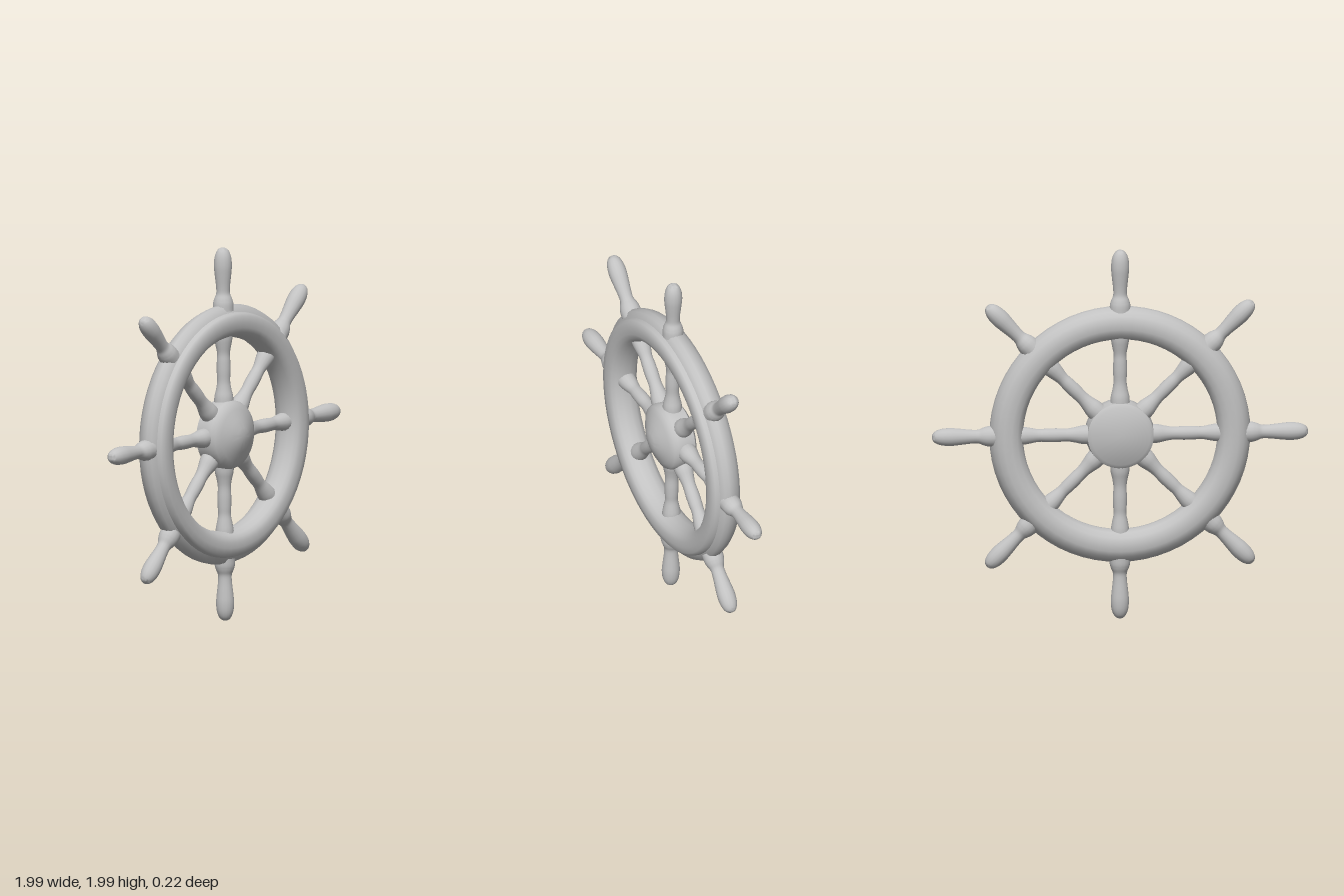
import * as THREE from 'three';
import { toCreasedNormals } from 'three/addons/utils/BufferGeometryUtils.js';

const paint = new THREE.MeshStandardMaterial({ color: 0xc2c2c2 });
paint.name = 'light grey';

// Turned part: points are [radius, height], revolved about the y axis
function turned(name, points, segments, crease) {
  const pts = points.map(([r, h]) => new THREE.Vector2(r, h));
  const geo = toCreasedNormals(new THREE.LatheGeometry(pts, segments), crease);
  const mesh = new THREE.Mesh(geo, paint);
  mesh.name = name;
  return mesh;
}

// Smooths a handful of points into a rounder profile
function smoothProfile(points, count) {
  const curve = new THREE.CatmullRomCurve3(points.map(([r, h]) => new THREE.Vector3(r, h, 0)), false, 'centripetal');
  return curve.getPoints(count).map(p => [Math.max(p.x, 0), p.y]);
}

export function createModel() {
  const model = new THREE.Group();
  model.name = 'shipWheel';
  const wheel = new THREE.Group();
  wheel.name = 'wheel';
  wheel.position.y = 1.004;
  wheel.rotation.set(-0.008, -0.008, 0); // slight lean of the whole wheel
  model.add(wheel);

  // Rim: a raised front ring on a broader band with a rounded back
  const rim = turned('rim', [
    [0.532, 0.04], [0.518, 0.01], [0.514, -0.03], [0.525, -0.065], [0.548, -0.092], [0.58, -0.102],
    [0.62, -0.102], [0.65, -0.09], [0.672, -0.066], [0.688, -0.035], [0.691, -0.01], [0.682, 0.014],
    [0.652, 0.03], [0.646, 0.052], [0.632, 0.064], [0.6, 0.068], [0.57, 0.066], [0.547, 0.058], [0.532, 0.04],
  ], 64, 0.75);
  rim.rotation.x = Math.PI / 2;
  wheel.add(rim);

  // Hub: flat back and a shallow domed front
  const hub = turned('hub', [
    [0, -0.085], [0.155, -0.085], [0.175, -0.07], [0.182, -0.02], [0.182, 0.03],
    [0.172, 0.05], [0.14, 0.068], [0.09, 0.09], [0.045, 0.108], [0, 0.113],
  ], 40, 0.75);
  hub.rotation.x = Math.PI / 2;
  wheel.add(hub);

  // Eight turned spokes, each continuing past the rim as a handle
  const spokeProfile = smoothProfile([
    [0.052, 0.14], [0.05, 0.2], [0.041, 0.24], [0.035, 0.28], [0.037, 0.34],
    [0.036, 0.39], [0.034, 0.43], [0.042, 0.475], [0.048, 0.51], [0.05, 0.56],
  ], 30);
  const handleProfile = smoothProfile([
    [0.056, 0.66], [0.054, 0.7], [0.047, 0.725], [0.037, 0.75], [0.037, 0.785], [0.044, 0.85],
    [0.048, 0.9], [0.043, 0.95], [0.03, 0.98], [0.015, 0.993], [0, 0.996],
  ], 36);
  for (let i = 0; i < 8; i++) {
    const arm = new THREE.Group();
    arm.name = 'arm' + (i + 1);
    arm.rotation.z = i * Math.PI / 4;
    arm.position.z = -0.02;
    arm.add(turned('spoke', spokeProfile, 16, 1.2), turned('handle', handleProfile, 16, 1.2));
    wheel.add(arm);
  }
  return model;
}
